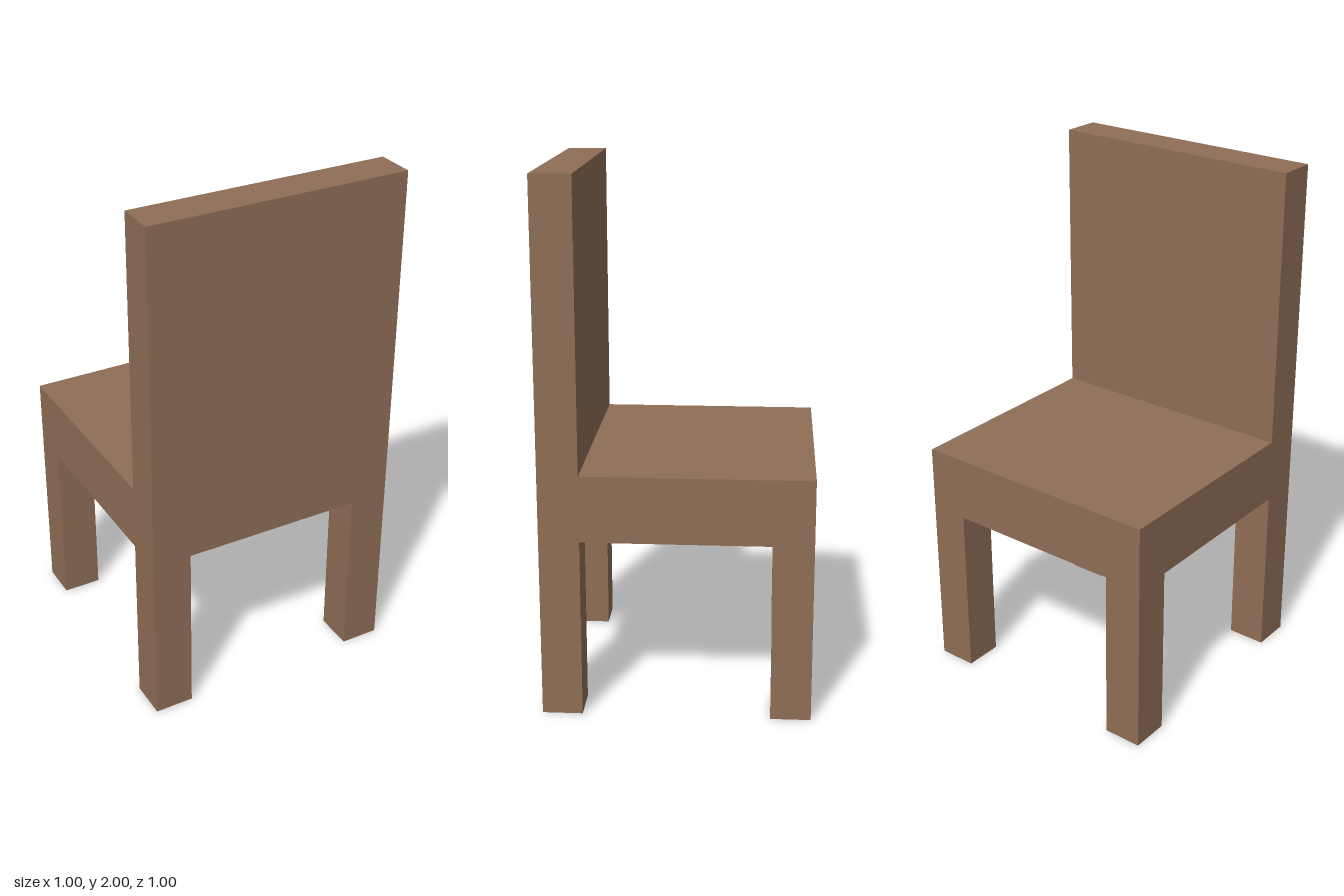
import * as THREE from 'three';

const T = 0.15;        // thickness of legs, rails and backrest
const RAIL_Y = 0.68;   // underside of the rails
const SEAT_Y = 0.93;   // top of the seat

// Two legs joined by a panel above them, cut from one board
function legFrame(name, height, z, material) {
  const inner = 0.5 - T;
  const outline = [
    [-0.5, 0], [-inner, 0], [-inner, RAIL_Y], [inner, RAIL_Y],
    [inner, 0], [0.5, 0], [0.5, height], [-0.5, height],
  ].map(([x, y]) => new THREE.Vector2(x, y));
  const geometry = new THREE.ExtrudeGeometry(new THREE.Shape(outline), { depth: T, bevelEnabled: false });
  const mesh = new THREE.Mesh(geometry, material);
  mesh.name = name;
  mesh.position.z = z;
  return mesh;
}

function box(name, size, position, material) {
  const mesh = new THREE.Mesh(new THREE.BoxGeometry(...size), material);
  mesh.name = name;
  mesh.position.set(...position);
  return mesh;
}

export function createModel() {
  const wood = new THREE.MeshStandardMaterial({ color: 0x8f6e56 });
  wood.name = 'brown wood';

  const chair = new THREE.Group();
  chair.name = 'chair';
  const span = 1 - 2 * T;

  // Backrest with its legs, and the lower pair of legs opposite
  chair.add(legFrame('backrestAndLegs', 2, 0.5 - T, wood));
  chair.add(legFrame('seatEdgeAndLegs', SEAT_Y, -0.5, wood));

  // Side rails
  for (const [side, name] of [[1, 'leftRail'], [-1, 'rightRail']]) {
    chair.add(box(name, [T, SEAT_Y - RAIL_Y, span], [side * (0.5 - T / 2), (SEAT_Y + RAIL_Y) / 2, 0], wood));
  }

  // Seat board, flush on top and recessed between the rails below
  const board = 0.1;
  chair.add(box('seat', [span, board, span], [0, SEAT_Y - board / 2, 0], wood));

  return chair;
}
